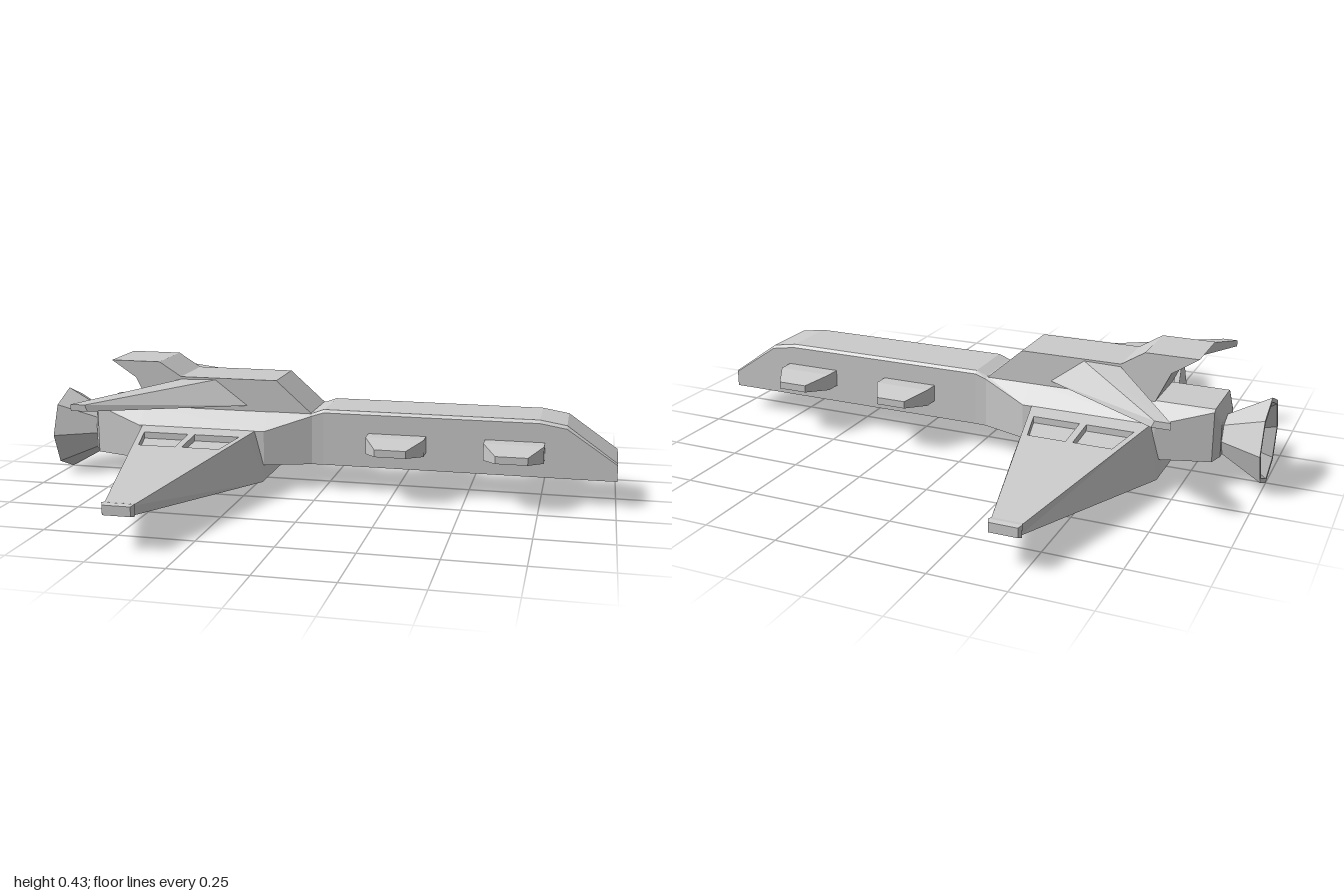
import * as THREE from 'three';

const material = new THREE.MeshStandardMaterial({ color: 0xcccccc, flatShading: true, side: THREE.DoubleSide });

function addMesh(parent, name, geometry) {
  const mesh = new THREE.Mesh(geometry, material);
  mesh.name = name;
  parent.add(mesh);
  return mesh;
}

// Skin a row of cross-section rings; optionally leave the rings open or the ends uncapped
function loft(rings, { closed = true, capStart = true, capEnd = true } = {}) {
  const out = [];
  const n = rings[0].length;
  for (let i = 0; i < rings.length - 1; i++) {
    const a = rings[i], b = rings[i + 1];
    for (let j = 0; j < (closed ? n : n - 1); j++) {
      const k = (j + 1) % n;
      out.push(...a[j], ...a[k], ...b[k], ...a[j], ...b[k], ...b[j]);
    }
  }
  const cap = (r, flip) => {
    for (let j = 1; j < n - 1; j++) out.push(...r[0], ...r[flip ? j + 1 : j], ...r[flip ? j : j + 1]);
  };
  if (capStart) cap(rings[0], true);
  if (capEnd) cap(rings[rings.length - 1], false);
  const g = new THREE.BufferGeometry();
  g.setAttribute('position', new THREE.Float32BufferAttribute(out, 3));
  g.computeVertexNormals();
  return g;
}

// Fuselage section: bevelled shoulders, lower half-width w
const hullRing = (x, w, shoulder, topW, top, bottom = 0.09) => [
  [x, bottom, w], [x, bottom, -w], [x, shoulder, -w],
  [x, top, -topW], [x, top, topW], [x, shoulder, w],
];

const WING_X = -0.44;
const wingTop = z => 0.21 - (0.07 * (z - 0.17)) / 0.71;
const wingHalf = z => 0.2 - (0.155 * (z - 0.2)) / 0.68;

function addWing(parent, s) {
  const wing = new THREE.Group();
  wing.name = s > 0 ? 'frontWing' : 'rearWing';
  parent.add(wing);

  // Sloped edges and underside, open at the top
  const ring = (z, low, bottom, high, top) => [
    [WING_X - high, top, s * z], [WING_X - low, bottom, s * z],
    [WING_X + low, bottom, s * z], [WING_X + high, top, s * z],
  ];
  addMesh(wing, 'wingShell', loft([
    ring(0, 0.25, 0.045, 0.2, 0.21),
    ring(0.17, 0.25, 0.045, wingHalf(0.17), 0.21),
    ring(0.22, 0.25, 0.045, wingHalf(0.22), wingTop(0.22)),
    ring(0.88, 0.045, 0.11, 0.045, 0.14),
  ], { closed: false }));

  // Upper skin with two panel openings
  const shape = new THREE.Shape([
    [-wingHalf(0.13), 0.13], [wingHalf(0.13), 0.13], [0.045, 0.88], [-0.045, 0.88],
  ].map(([x, z]) => new THREE.Vector2(WING_X + x, z)));
  const panels = [-1, 1].map(m =>
    [[0.012, 0.235], [0.172, 0.235], [0.142, 0.365], [0.012, 0.365]].map(([x, z]) => [WING_X + m * x, z]));
  for (const p of panels) shape.holes.push(new THREE.Path(p.map(([x, z]) => new THREE.Vector2(x, z))));
  const skin = new THREE.ShapeGeometry(shape);
  const pos = skin.attributes.position;
  for (let i = 0; i < pos.count; i++) {
    const z = pos.getY(i);
    pos.setXYZ(i, pos.getX(i), wingTop(z), s * z);
  }
  skin.computeVertexNormals();
  addMesh(wing, 'wingSkin', skin);

  // Recessed panel trays
  for (const p of panels) {
    const level = d => p.map(([x, z]) => [x, wingTop(z) - d, s * z]);
    addMesh(wing, 'recessedPanel', loft([level(0), level(0.022)], { capStart: false }));
  }

  // Flared tip
  addMesh(wing, 'wingTip', loft([
    ring(0.865, 0.046, 0.108, 0.046, 0.143),
    ring(0.88, 0.052, 0.106, 0.052, 0.145),
    ring(0.895, 0.045, 0.11, 0.045, 0.141),
  ]));
}

function addFin(parent, s) {
  // Swept upper fin, tapering from the deck to a thin tip
  const root = [[-0.51, 0.285], [-0.26, 0.285], [-0.38, 0.375], [-0.51, 0.372]].map(([x, y]) => [x, y, s * 0.09]);
  const tip = [[-0.785, 0.315], [-0.725, 0.315], [-0.735, 0.337], [-0.785, 0.337]].map(([x, y]) => [x, y, s * 0.445]);
  addMesh(parent, s > 0 ? 'frontFin' : 'rearFin', loft([root, tip]));
}

function addPod(parent, x, s) {
  const ring = (z, w, y0, y1) => [
    [x - w, y0, s * z], [x + w, y0, s * z], [x + w, y1, s * z], [x - w, y1, s * z],
  ];
  addMesh(parent, 'sidePod', loft([
    ring(0.1, 0.1, 0.152, 0.21), ring(0.165, 0.1, 0.152, 0.21), ring(0.253, 0.053, 0.165, 0.19),
  ]));
}

export function createModel() {
  const ship = new THREE.Group();
  ship.name = 'spaceship';

  // Long hull, flaring beside the wings and sloping down to the nose
  addMesh(ship, 'hull', loft([
    hullRing(-0.86, 0.08, 0.21, 0.07, 0.22, 0.1),
    hullRing(-0.84, 0.11, 0.262, 0.1, 0.27),
    hullRing(-0.66, 0.165, 0.21, 0.1, 0.27),
    hullRing(-0.2, 0.165, 0.21, 0.1, 0.27),
    hullRing(-0.04, 0.112, 0.262, 0.1, 0.27),
    hullRing(0, 0.11, 0.275, 0.1, 0.285),
    hullRing(0.74, 0.11, 0.275, 0.1, 0.285),
    hullRing(0.83, 0.11, 0.26, 0.1, 0.27),
    hullRing(1, 0.11, 0.145, 0.105, 0.15),
  ]));

  // Raised deck with a kicked-up tail
  const deck = new THREE.Shape([
    [-0.04, 0.265], [-0.17, 0.38], [-0.52, 0.38], [-0.6, 0.43], [-0.78, 0.43], [-0.69, 0.37], [-0.64, 0.265],
  ].map(([x, y]) => new THREE.Vector2(x, y)));
  addMesh(ship, 'upperDeck', new THREE.ExtrudeGeometry(deck, { depth: 0.206, bevelEnabled: false }).translate(0, 0, -0.103));

  // Hollow eight-sided exhaust bell
  const bell = [[0, -0.88], [0.05, -0.88], [0.135, -1], [0.15, -1], [0.072, -0.86], [0.072, -0.835]]
    .map(([r, x]) => new THREE.Vector2(r, -x));
  const nozzle = new THREE.LatheGeometry(bell, 8).rotateZ(Math.PI / 2).translate(0, 0.15, 0);
  addMesh(ship, 'engineNozzle', nozzle);

  for (const s of [1, -1]) {
    addWing(ship, s);
    addFin(ship, s);
    for (const x of [0.26, 0.66]) addPod(ship, x, s);
  }
  return ship;
}
